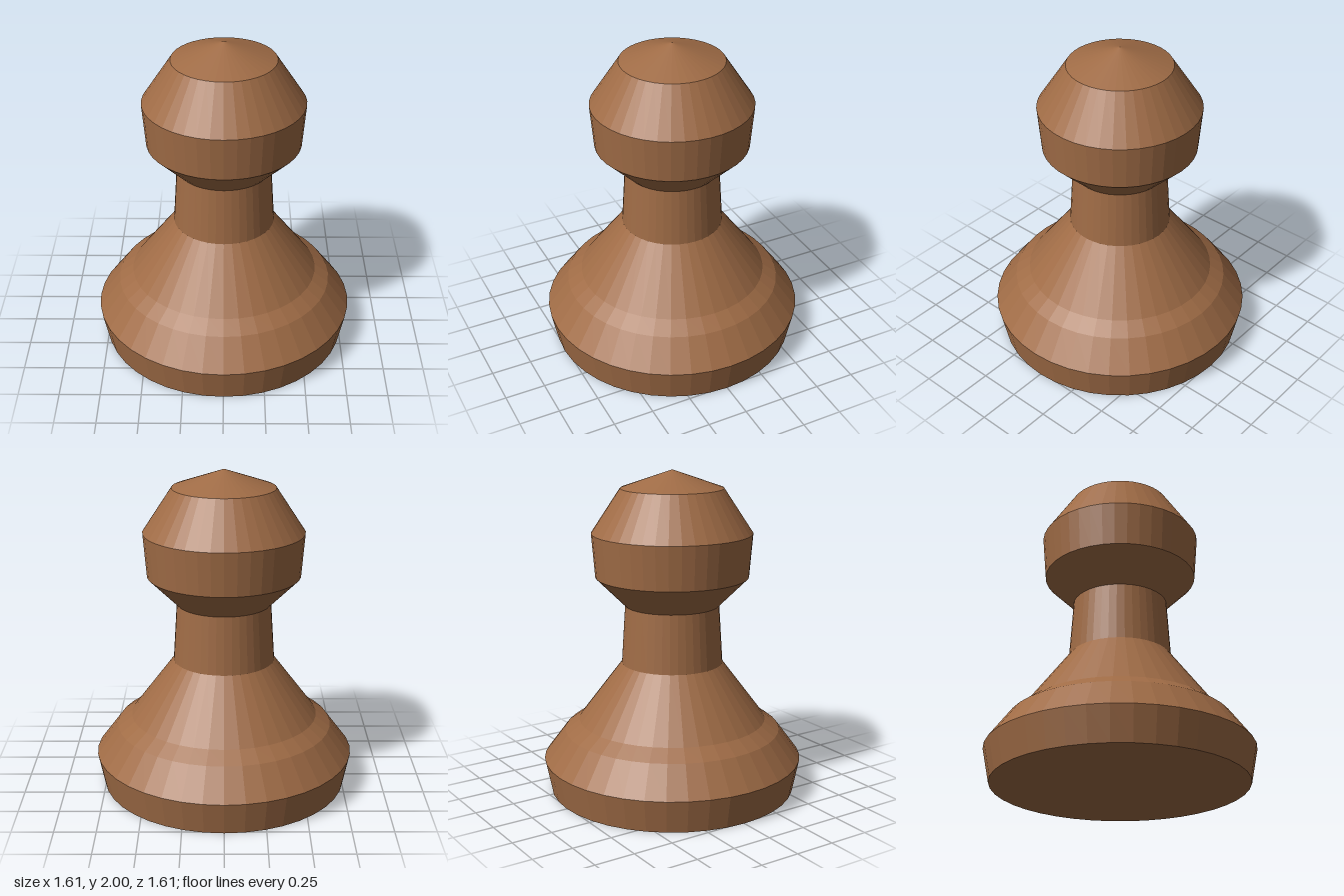
import * as THREE from 'three';

const SEGMENTS = 40;

export function createModel() {
  const group = new THREE.Group();
  group.name = 'pawn';

  const wood = new THREE.MeshStandardMaterial({ color: 0xa06c46 });
  wood.name = 'brown wood';
  wood.flatShading = true;

  // Turned part from [radius, height] pairs, listed bottom to top
  const turn = (name, profile) => {
    const points = profile.map(([r, y]) => new THREE.Vector2(r, y));
    const mesh = new THREE.Mesh(new THREE.LatheGeometry(points, SEGMENTS), wood);
    mesh.name = name;
    group.add(mesh);
  };

  // Foot with closed underside, flaring out and then stepping in
  turn('base', [[0, 0], [0.765, 0], [0.806, 0.205], [0.672, 0.385], [0.583, 0.45]]);
  // Sloping skirt
  turn('skirt', [[0.583, 0.45], [0.313, 0.81]]);
  // Slightly tapered neck
  turn('neck', [[0.313, 0.81], [0.29, 1.173]]);
  // Faceted head with a shallow conical cap
  turn('head', [[0.29, 1.173], [0.47, 1.352], [0.492, 1.62], [0.314, 1.89], [0, 2]]);

  return group;
}
